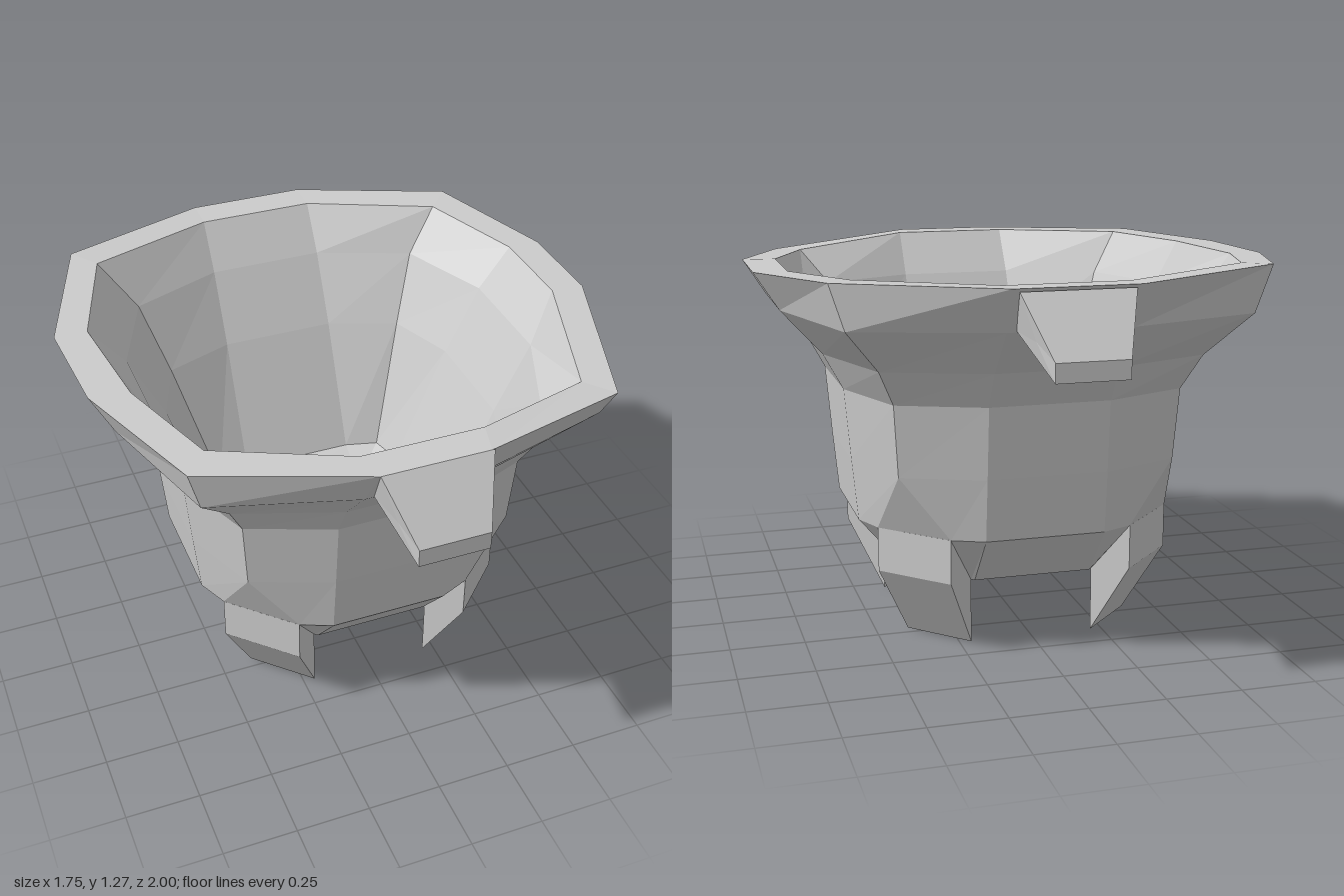
import * as THREE from 'three';

const mat = new THREE.MeshStandardMaterial({ color: 0xcccccc, flatShading: true });

// Skins a list of closed rings of [x, y, z] points, closing both ends with a fan.
function loft(rings, name) {
  const middle = (ring) => {
    const c = [0, 1, 2].map((k) => ring.reduce((s, p) => s + p[k], 0) / ring.length);
    return ring.map(() => c);
  };
  const all = [middle(rings[0]), ...rings, middle(rings[rings.length - 1])];
  const pos = [];
  const tri = (a, b, c) => {
    const [A, B, C] = [a, b, c].map((p) => new THREE.Vector3(...p));
    if (new THREE.Triangle(A, B, C).getArea() > 1e-6) pos.push(...a, ...b, ...c);
  };
  for (let r = 0; r + 1 < all.length; r++) {
    const n = all[r].length;
    for (let i = 0; i < n; i++) {
      const j = (i + 1) % n;
      tri(all[r][i], all[r][j], all[r + 1][j]);
      tri(all[r][i], all[r + 1][j], all[r + 1][i]);
    }
  }
  const geo = new THREE.BufferGeometry();
  geo.setAttribute('position', new THREE.Float32BufferAttribute(pos, 3));
  geo.computeVertexNormals();
  const mesh = new THREE.Mesh(geo, mat);
  mesh.name = name;
  return mesh;
}

// Rounded-square ring: flat sides at distance R, half width a, corner pair (p,q) and (q,p).
function ring(y, R, a, p, q = p) {
  const pts = [];
  for (let k = 0; k < 4; k++) {
    for (let [x, z] of [[-a, R], [a, R], [p, q], [q, p]]) {
      for (let t = 0; t < k; t++) [x, z] = [z, -x];
      pts.push([x, y, z]);
    }
  }
  return pts;
}

// Hand-shaped rim of 12 points; every third one is a corner and is doubled to match ring().
const rim = (pts) => pts.flatMap((p, i) => (i % 3 === 2 ? [p, p] : [p]));

// Solid with a [z, y, halfWidth] profile, symmetrical in x.
const wedge = (profile, name) =>
  loft([-1, 1].map((s) => profile.map(([z, y, w]) => [s * w, y, z])), name);

export function createModel() {
  const model = new THREE.Group();
  model.name = 'pot';

  // Body: underside, outer wall, rim, inner wall and floor
  model.add(loft([
    ring(0.22, 0.4, 0.2, 0.21, 0.39),
    ring(0.4, 0.55, 0.2, 0.305, 0.505),
    ring(0.61, 0.57, 0.2, 0.465),
    ring(0.85, 0.59, 0.2, 0.48),
    ring(0.97, 0.655, 0.2, 0.535),
    ring(1.12, 0.79, 0.2, 0.655),
    rim([
      [-0.18, 1.25, 0.86], [0.17, 1.25, 0.86], [0.69, 1.21, 0.69],
      [0.87, 1.245, 0.13], [0.87, 1.245, -0.2], [0.7, 1.265, -0.64],
      [0.2, 1.26, -0.86], [-0.2, 1.26, -0.86], [-0.71, 1.275, -0.66],
      [-0.88, 1.25, -0.19], [-0.86, 1.25, 0.18], [-0.69, 1.25, 0.66],
    ]),
    rim([
      [-0.2, 1.25, 0.75], [0.2, 1.25, 0.75], [0.61, 1.215, 0.6],
      [0.76, 1.245, 0.12], [0.76, 1.245, -0.2], [0.62, 1.26, -0.55],
      [0.2, 1.255, -0.75], [-0.2, 1.255, -0.75], [-0.64, 1.27, -0.57],
      [-0.77, 1.25, -0.19], [-0.73, 1.25, 0.2], [-0.61, 1.25, 0.56],
    ]),
    ring(1.1, 0.65, 0.2, 0.52),
    ring(0.86, 0.53, 0.2, 0.44),
    ring(0.42, 0.345, 0.2, 0.315),
    ring(0.37, 0.19, 0.19, 0.19),
  ], 'bowl'));

  // Four wedge legs under the corners
  for (let i = 0; i < 4; i++) {
    const leg = wedge([
      [0.573, 0.4, 0.141], [0.573, 0.25, 0.141], [0.424, 0, 0.127], [0.424, 0.4, 0.127],
    ], 'leg');
    leg.rotation.y = Math.PI / 4 + (i * Math.PI) / 2;
    model.add(leg);
  }

  // Drooping handles at front and back
  for (const [name, turn] of [['frontHandle', 0], ['backHandle', Math.PI]]) {
    const handle = wedge([
      [0.86, 1.25, 0.18], [1, 1.065, 0.115], [1, 1.005, 0.115], [0.79, 1.125, 0.17],
    ], name);
    handle.rotation.y = turn;
    model.add(handle);
  }
  return model;
}
